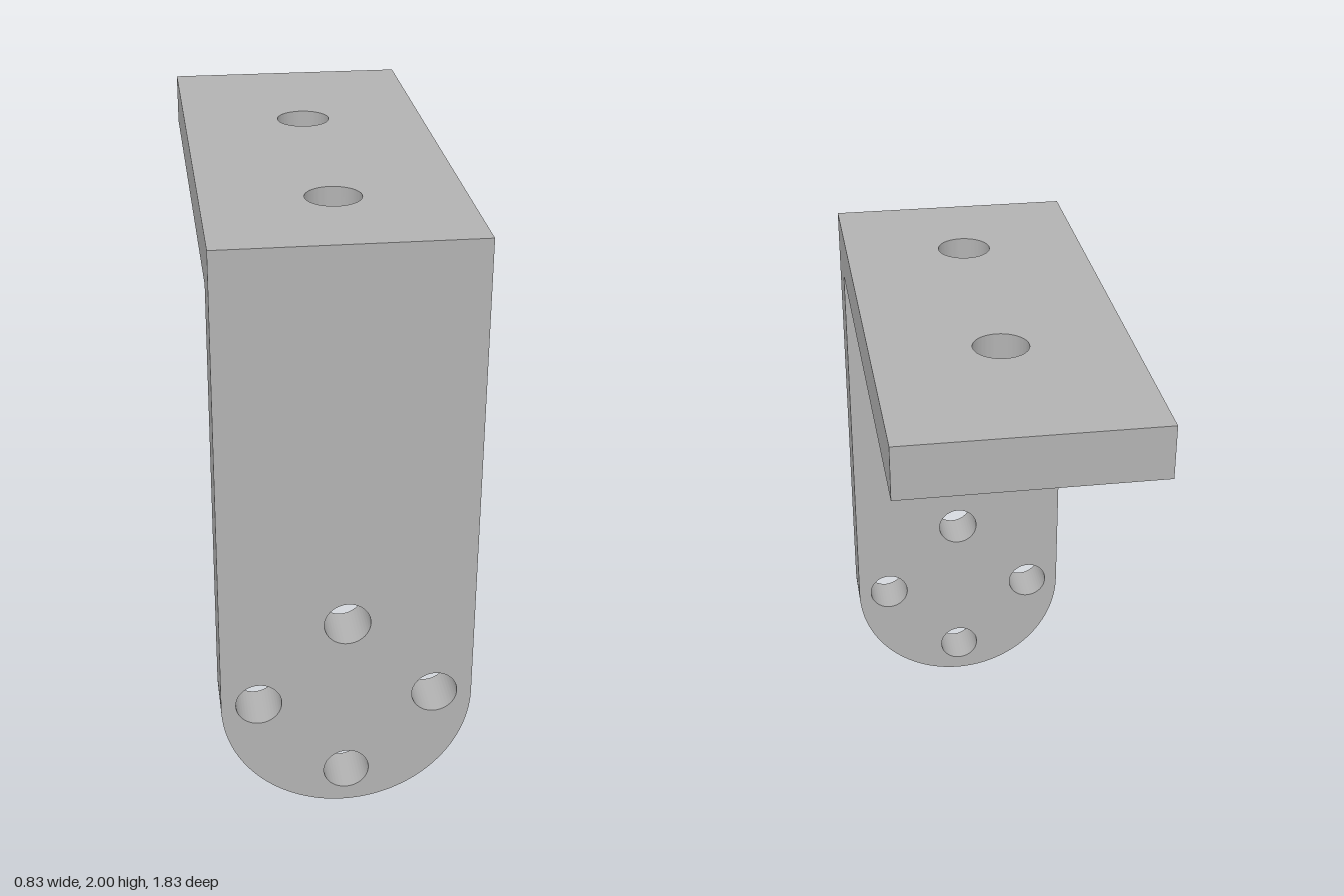
import * as THREE from 'three';
import { toCreasedNormals } from 'three/addons/utils/BufferGeometryUtils.js';

const HALF_WIDTH = 0.413;   // also the radius of the rounded end
const HALF_DEPTH = 0.913;
const THICKNESS = 0.174;
const HEIGHT = 2;

function addHole(shape, x, y, radius) {
  const hole = new THREE.Path();
  hole.absarc(x, y, radius, 0, Math.PI * 2, true);
  shape.holes.push(hole);
}

function extrudePlate(shape) {
  const geometry = new THREE.ExtrudeGeometry(shape, {
    depth: THICKNESS, bevelEnabled: false, curveSegments: 40,
  });
  return toCreasedNormals(geometry, 0.6);
}

export function createModel() {
  const group = new THREE.Group();
  group.name = 'angleBracket';
  const metal = new THREE.MeshStandardMaterial({ color: 0xb2b2b2 });
  metal.name = 'grey metal';

  // Upright plate: rounded lower end with a ring of four bolt holes
  const upright = new THREE.Shape();
  upright.moveTo(HALF_WIDTH, HEIGHT);
  upright.lineTo(-HALF_WIDTH, HEIGHT);
  upright.lineTo(-HALF_WIDTH, HALF_WIDTH);
  upright.absarc(0, HALF_WIDTH, HALF_WIDTH, Math.PI, Math.PI * 2, false);
  upright.closePath();
  for (let i = 0; i < 4; i++) {
    const angle = i * Math.PI / 2;
    addHole(upright, 0.29 * Math.cos(angle), 0.417 + 0.29 * Math.sin(angle), 0.075);
  }
  const uprightPlate = new THREE.Mesh(extrudePlate(upright), metal);
  uprightPlate.name = 'uprightPlate';
  uprightPlate.position.z = HALF_DEPTH - THICKNESS;
  group.add(uprightPlate);

  // Top plate: reaches back from the upright, with two mounting holes
  const front = -(HALF_DEPTH - THICKNESS);
  const top = new THREE.Shape();
  top.moveTo(-HALF_WIDTH, front);
  top.lineTo(HALF_WIDTH, front);
  top.lineTo(HALF_WIDTH, HALF_DEPTH);
  top.lineTo(-HALF_WIDTH, HALF_DEPTH);
  top.closePath();
  for (const z of [-0.313, 0.502]) addHole(top, 0, -z, 0.09);
  const topPlate = new THREE.Mesh(extrudePlate(top), metal);
  topPlate.name = 'topPlate';
  topPlate.rotation.x = -Math.PI / 2;
  topPlate.position.y = HEIGHT - THICKNESS;
  group.add(topPlate);

  return group;
}
